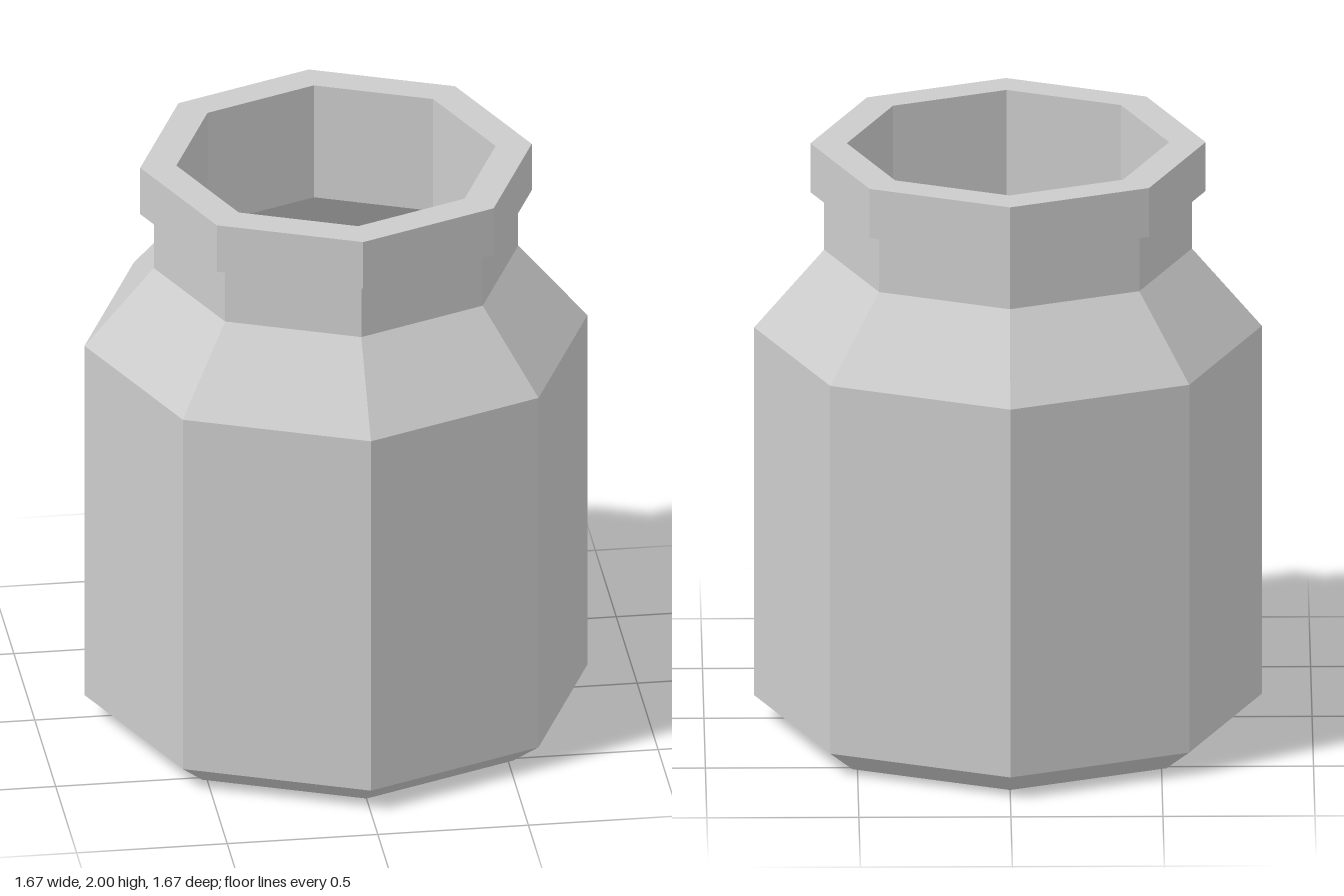
import * as THREE from 'three';

const SIDES = 8;
const material = new THREE.MeshStandardMaterial({ color: 0xcccccc, flatShading: true });

// Revolve a [radius, y] profile into an eight-sided shell; upward profiles face outward
function shell(name, profile) {
  const points = profile.map(([r, y]) => new THREE.Vector2(r, y));
  const mesh = new THREE.Mesh(new THREE.LatheGeometry(points, SIDES), material);
  mesh.name = name;
  return mesh;
}

export function createModel() {
  const jar = new THREE.Group();
  jar.name = 'jar';

  jar.add(
    // Flat base, bevelled foot, straight wall and sloping shoulder
    shell('body', [[0, 0], [0.73, 0], [0.835, 0.08], [0.835, 1.36], [0.605, 1.63]]),
    // Recessed neck
    shell('neck', [[0.605, 1.63], [0.605, 1.83]]),
    // Lip overhanging the neck, with its flat top ring
    shell('rim', [[0.605, 1.83], [0.65, 1.83], [0.65, 2], [0.53, 2]]),
    // Hollow inside: mouth, underside of shoulder, inner wall and floor
    shell('interior', [[0.53, 2], [0.53, 1.59], [0.76, 1.33], [0.76, 0.12], [0.69, 0.07], [0, 0.07]]),
  );
  return jar;
}
